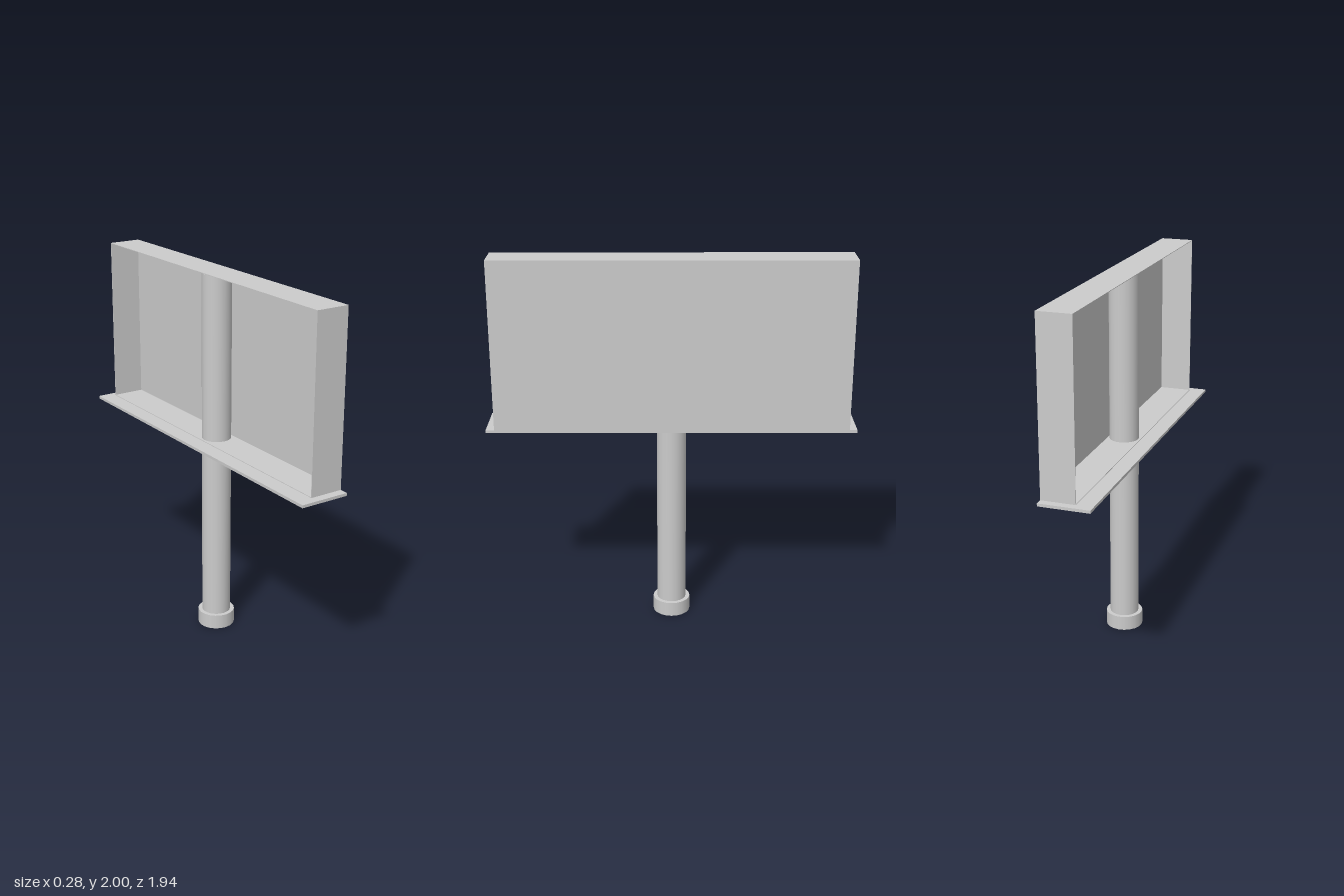
import * as THREE from 'three';

export function createModel() {
  const model = new THREE.Group();
  model.name = 'billboard';
  const material = new THREE.MeshStandardMaterial({ color: 0xcccccc });

  function add(name, geometry, parent = model) {
    const mesh = new THREE.Mesh(geometry, material);
    mesh.name = name;
    parent.add(mesh);
    return mesh;
  }
  // Box given by its minimum and maximum corners
  function slab(name, [x0, y0, z0], [x1, y1, z1], parent) {
    const mesh = add(name, new THREE.BoxGeometry(x1 - x0, y1 - y0, z1 - z0), parent);
    mesh.position.set((x0 + x1) / 2, (y0 + y1) / 2, (z0 + z1) / 2);
  }
  // Upright cylinder on the pole's axis
  function post(name, radius, y0, y1) {
    const mesh = add(name, new THREE.CylinderGeometry(radius, radius, y1 - y0, 20), model);
    mesh.position.set(0.037, (y0 + y1) / 2, 0);
  }

  // Footing and pole, the pole running up inside the sign
  post('footing', 0.1, 0, 0.08);
  post('pole', 0.078, 0.08, 1.99);

  // Walkway under the sign
  slab('walkway', [-0.14, 1.085, -0.97], [0.125, 1.1, 0.97]);

  // Thin sheet-metal sign box, open towards -x
  const sign = new THREE.Group();
  sign.name = 'signBox';
  model.add(sign);
  const t = 0.003, x0 = -0.053, x1 = 0.125, y0 = 1.1, y1 = 2, z0 = -0.93, z1 = 0.925;
  slab('signFace', [x1 - t, y0, z0], [x1, y1, z1], sign);
  slab('signTop', [x0, y1 - t, z0], [x1 - t, y1, z1], sign);
  slab('signFloor', [x0, y0, z0], [x1 - t, y0 + t, z1], sign);
  slab('signEndLeft', [x0, y0 + t, z0], [x1 - t, y1 - t, z0 + t], sign);
  slab('signEndRight', [x0, y0 + t, z1 - t], [x1 - t, y1 - t, z1], sign);

  return model;
}
